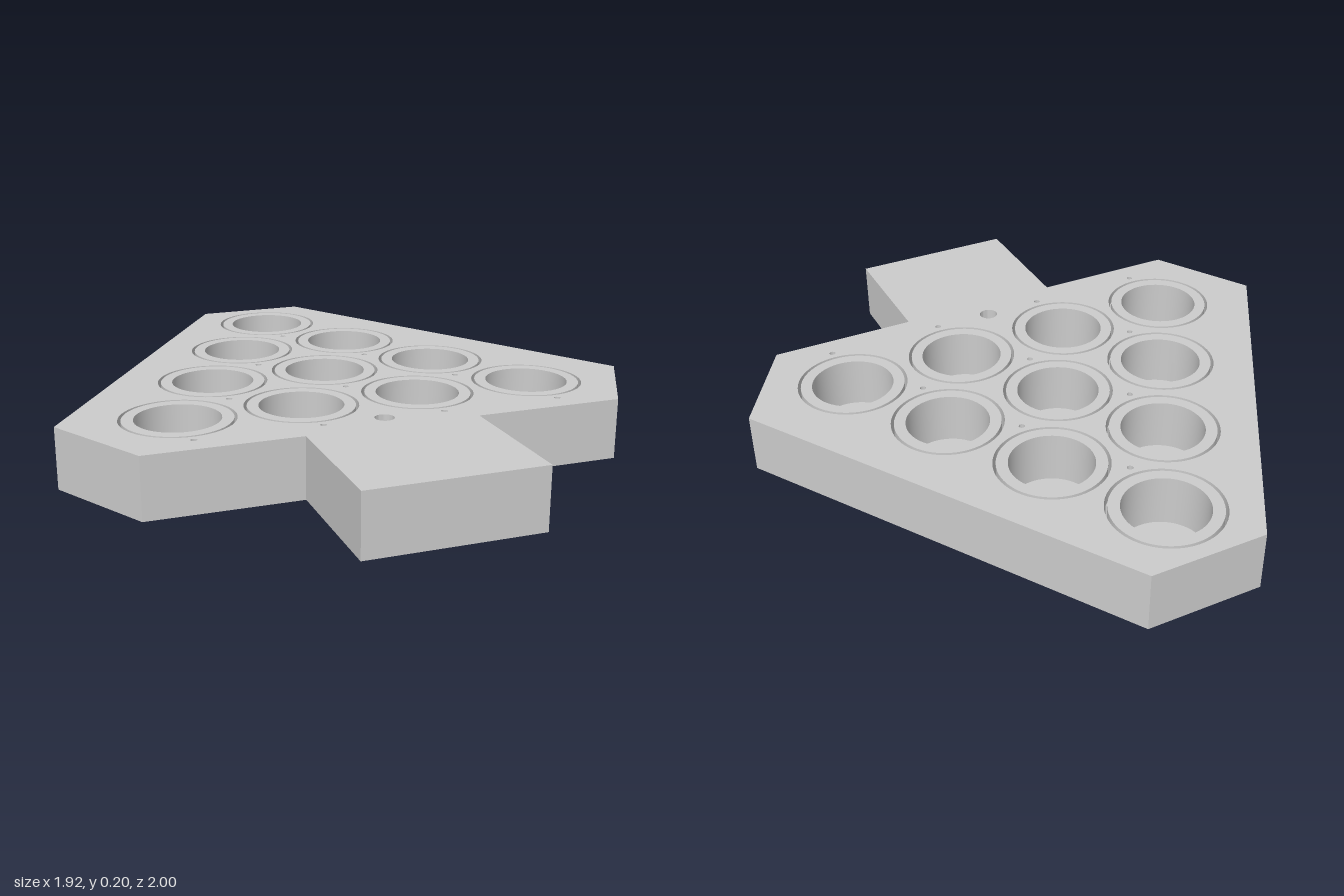
import * as THREE from 'three';
import { mergeGeometries, toCreasedNormals } from 'three/addons/utils/BufferGeometryUtils.js';

const H = 0.2, POCKET_Y = 0.03, GROOVE_Y = 0.16;
const R_POCKET = 0.135, R_IN = 0.172, R_OUT = 0.182;
const SEG = 64;

// Loops live in plan coordinates (x, -z), counter-clockwise from above.
const arc = (cx, cy, r, a0, a1, n) => Array.from({ length: n + 1 }, (_, i) => {
  const a = a0 + (a1 - a0) * i / n;
  return new THREE.Vector2(cx + r * Math.cos(a), cy + r * Math.sin(a));
});
const circle = (cx, cy, r, n = SEG) => arc(cx, cy, r, 0, Math.PI * 2, n).slice(0, n);

// Curved slot: a quarter of the ring between the two groove radii
const slot = (cx, cy, mid) => [
  ...arc(cx, cy, R_OUT, mid - Math.PI / 4, mid + Math.PI / 4, SEG / 4),
  ...arc(cx, cy, R_IN, mid + Math.PI / 4, mid - Math.PI / 4, SEG / 4),
];

// Flat horizontal face with holes, facing up or down
function cap(loop, holes, y, down = false) {
  const shape = new THREE.Shape(loop);
  holes.forEach(h => shape.holes.push(new THREE.Path(h)));
  const g = new THREE.ShapeGeometry(shape);
  if (down) g.setIndex(Array.from(g.index.array).reverse());
  g.rotateX(-Math.PI / 2).translate(0, y, 0);
  g.deleteAttribute('uv');
  const flat = g.toNonIndexed();
  flat.computeVertexNormals();
  return flat;
}

// Vertical wall round a closed loop, facing outward or (inward) into a hole
function wall(loop, y0, y1, inward = false) {
  const pts = inward ? [...loop].reverse() : loop;
  const pos = [];
  pts.forEach((a, i) => {
    const b = pts[(i + 1) % pts.length];
    const c = [[a, y0], [b, y0], [b, y1], [a, y0], [b, y1], [a, y1]];
    c.forEach(([p, y]) => pos.push(p.x, y, -p.y));
  });
  const g = new THREE.BufferGeometry();
  g.setAttribute('position', new THREE.Float32BufferAttribute(pos, 3));
  return toCreasedNormals(g, 0.5);
}

export function createModel() {
  const model = new THREE.Group();
  const material = new THREE.MeshStandardMaterial({ color: 0xcccccc });
  const add = (name, ...geos) => {
    const mesh = new THREE.Mesh(mergeGeometries(geos), material);
    mesh.name = name;
    model.add(mesh);
  };

  // Tree-shaped outline, mirrored about x = 0
  const half = [[0.28, -1], [0.28, -0.55], [0.77, -0.55], [0.96, -0.22], [0.19, 1]];
  const outline = [...half, ...half.map(([x, y]) => [-x, y]).reverse()]
    .map(([x, y]) => new THREE.Vector2(x, y));

  // Ten pockets in rows of one to four
  const centres = [];
  for (let row = 0; row < 4; row++)
    for (let i = 0; i <= row; i++)
      centres.push([(i - row / 2) * 0.396, 0.767 - row * 0.343]);

  const topHoles = [], bottomHoles = [];

  centres.forEach(([x, y]) => {
    const pocket = circle(x, y, R_POCKET);
    const inner = circle(x, y, R_IN), outer = circle(x, y, R_OUT);
    const pin = circle(x, y - 0.21, 0.01, 16);
    const slots = [0, Math.PI].map(m => slot(x, y, m));
    topHoles.push(outer, pin);
    bottomHoles.push(...slots);

    add('pocket', wall(pocket, POCKET_Y, H, true), cap(pocket, [], POCKET_Y));
    add('pocketCollar', cap(inner, [pocket], H), wall(inner, GROOVE_Y, H));
    // Groove floor fills the quarters between the two slots
    add('ringGroove', wall(outer, GROOVE_Y, H, true),
      ...[1, 3].map(q => cap(slot(x, y, q * Math.PI / 2), [], GROOVE_Y)));
    add('curvedSlots', ...slots.map(s => wall(s, 0, GROOVE_Y, true)));
    add('pinHole', wall(pin, 0.1, H, true), cap(pin, [], 0.1));
  });

  // Larger hole above the trunk
  const trunkHole = circle(0, -0.47, 0.031, 32);
  topHoles.push(trunkHole);
  add('trunkHole', wall(trunkHole, 0.1, H, true), cap(trunkHole, [], 0.1));

  // Plate body
  add('plateTop', cap(outline, topHoles, H));
  add('plateBottom', cap(outline, bottomHoles, 0, true));
  add('plateSides', wall(outline, 0, H));
  return model;
}
